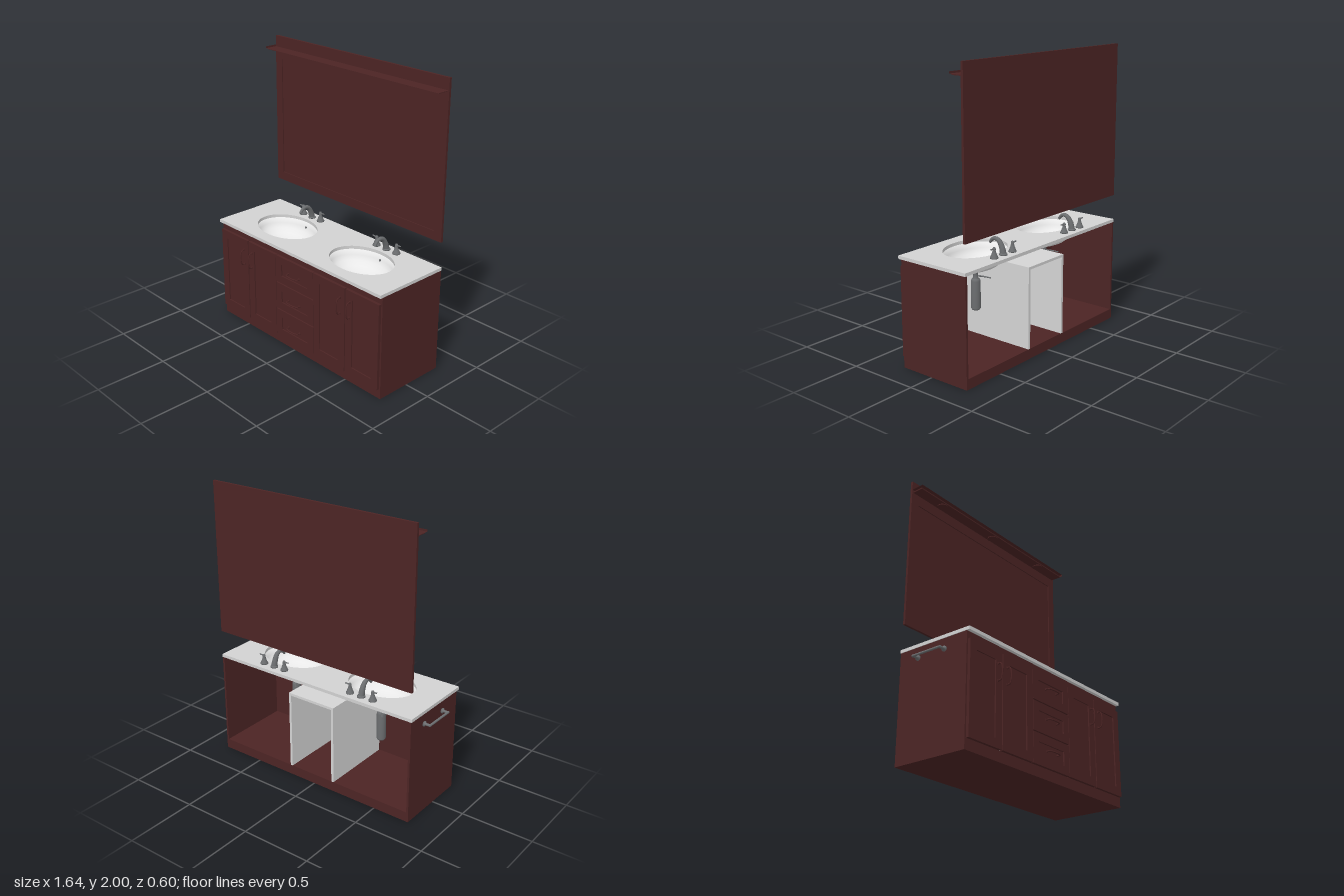
import * as THREE from 'three';

const mat = (name, color, side = THREE.FrontSide) => {
  const m = new THREE.MeshStandardMaterial({ color, side });
  m.name = name;
  return m;
};

export function createModel() {
  const wood = mat('dark cherry wood', 0x4c2424);
  const stone = mat('grey stone', 0xd2d2d2);
  const china = mat('white china', 0xececec, THREE.DoubleSide);
  const board = mat('drawer box board', 0xd4d4d4);
  const metal = mat('brushed metal', 0x6c6e70);

  const model = new THREE.Group();
  model.name = 'doubleVanity';
  const add = (name, geo, material, parent = model) => {
    const mesh = new THREE.Mesh(geo, material);
    mesh.name = name;
    parent.add(mesh);
    return mesh;
  };
  // Box given by its limits on each axis
  const box = (name, x0, x1, y0, y1, z0, z1, material = wood, parent = model) => {
    const mesh = add(name, new THREE.BoxGeometry(x1 - x0, y1 - y0, z1 - z0), material, parent);
    mesh.position.set((x0 + x1) / 2, (y0 + y1) / 2, (z0 + z1) / 2);
    return mesh;
  };
  const vec = (x, y, z) => new THREE.Vector3(x, y, z);
  const lathe = (pts, seg = 24) => new THREE.LatheGeometry(pts.map(p => new THREE.Vector2(...p)), seg);
  // Tube whose radius changes from r0 to r1, with capped ends
  const taperTube = (name, pts, r0, r1, material, parent) => {
    const curve = new THREE.CatmullRomCurve3(pts);
    const n = 24, sides = 12;
    const geo = new THREE.TubeGeometry(curve, n, 1, sides);
    const p = geo.attributes.position, v = new THREE.Vector3();
    for (let i = 0; i <= n; i++) {
      const c = curve.getPointAt(i / n), r = r0 + (r1 - r0) * i / n;
      for (let j = 0; j <= sides; j++) {
        const k = i * (sides + 1) + j;
        v.fromBufferAttribute(p, k).sub(c).multiplyScalar(r).add(c);
        p.setXYZ(k, v.x, v.y, v.z);
      }
    }
    add(name, geo, material, parent);
    [[0, r0, -1], [1, r1, 1]].forEach(([t, r, s]) => {
      const cap = add(name + 'End', new THREE.CircleGeometry(r, sides), material, parent);
      const c = curve.getPointAt(t);
      cap.position.copy(c);
      cap.lookAt(c.clone().addScaledVector(curve.getTangentAt(t), s));
    });
  };
  // Framed front with a recessed centre panel
  const framedPanel = (name, x0, x1, y0, y1, z0, z1, rail, depth) => {
    const g = new THREE.Group();
    g.name = name;
    model.add(g);
    box('leftStile', x0, x0 + rail, y0, y1, z0, z1, wood, g);
    box('rightStile', x1 - rail, x1, y0, y1, z0, z1, wood, g);
    box('bottomRail', x0 + rail, x1 - rail, y0, y0 + rail, z0, z1, wood, g);
    box('topRail', x0 + rail, x1 - rail, y1 - rail, y1, z0, z1, wood, g);
    box('centrePanel', x0 + rail, x1 - rail, y0 + rail, y1 - rail, z0, z1 - depth, wood, g);
  };

  // Cabinet carcass, open at the back
  const L = -0.768, R = 0.815, B = -0.297, F = 0.245;
  box('base', L, R, 0, 0.07, B, F);
  box('rightSide', L, L + 0.015, 0.07, 0.73, B, F);
  box('leftSide', R - 0.015, R, 0.07, 0.73, B, F);
  box('frontTopRail', L + 0.015, R - 0.015, 0.675, 0.73, F - 0.018, F);

  // Drawer housing
  box('housingSide', -0.165, -0.147, 0.07, 0.635, B, F - 0.002, board);
  box('housingSide', 0.192, 0.21, 0.07, 0.635, B, F - 0.002, board);
  box('housingTop', -0.147, 0.192, 0.617, 0.635, B, F - 0.002, board);

  // Bowed pull, centred on its own origin and running along x
  const pull = (x, y, upright) => {
    const g = new THREE.Group();
    g.name = 'pull';
    g.position.set(x, y, 0.265);
    if (upright) g.rotation.z = Math.PI / 2;
    model.add(g);
    taperTube('grip', [vec(-0.055, 0, 0), vec(-0.053, 0, 0.022), vec(-0.035, 0, 0.031), vec(0, 0, 0.034),
      vec(0.035, 0, 0.031), vec(0.053, 0, 0.022), vec(0.055, 0, 0)], 0.0045, 0.0045, wood, g);
    for (const s of [-1, 1]) box('foot', s * 0.055 - 0.007, s * 0.055 + 0.007, -0.006, 0.006, 0, 0.006, wood, g);
  };

  // Doors and drawers with their pulls
  [[-0.757, -0.465, -0.505], [-0.457, -0.167, -0.42], [0.212, 0.505, 0.465], [0.513, 0.804, 0.552]]
    .forEach(([x0, x1, px]) => {
      framedPanel('door', x0, x1, 0.07, 0.68, F, 0.265, 0.058, 0.009);
      pull(px, 0.545, true);
    });
  [[0.07, 0.273], [0.281, 0.477], [0.485, 0.68]].forEach(([y0, y1]) => {
    framedPanel('drawerFront', -0.163, 0.208, y0, y1, F, 0.265, 0.055, 0.009);
    pull(0.022, (y0 + y1) / 2, false);
  });

  // Countertop with two oval openings
  const sinks = [-0.345, 0.39];
  const slab = new THREE.Shape();
  slab.moveTo(-0.772, -0.268).lineTo(0.818, -0.268).lineTo(0.818, 0.297).lineTo(-0.772, 0.297).closePath();
  for (const x of sinks) slab.holes.push(new THREE.Path().absellipse(x, 0, 0.242, 0.182, 0, Math.PI * 2, true));
  const top = add('countertop', new THREE.ExtrudeGeometry(slab, { depth: 0.022, bevelEnabled: false, curveSegments: 48 }), stone);
  top.rotation.x = -Math.PI / 2;
  top.position.y = 0.73;

  for (const x of sinks) {
    const g = new THREE.Group();
    g.name = 'sinkAndFaucet';
    g.position.x = x;
    model.add(g);

    // Basin, drain, overflow and waste pipe
    const bowl = add('basin', lathe([[0.02, 0.605], [0.06, 0.607], [0.12, 0.617], [0.17, 0.634], [0.21, 0.66],
      [0.235, 0.69], [0.246, 0.728], [0.285, 0.729]], 48), china, g);
    bowl.scale.z = 0.755;
    add('drain', new THREE.CylinderGeometry(0.027, 0.027, 0.008, 24), metal, g).position.y = 0.61;
    const hole = add('overflow', new THREE.CylinderGeometry(0.008, 0.008, 0.004, 16), metal, g);
    hole.position.set(0, 0.69, -0.175);
    hole.rotation.x = 1.3;
    add('wastePipe', lathe([[0, 0.33], [0.024, 0.333], [0.032, 0.345], [0.032, 0.53], [0.026, 0.545],
      [0.016, 0.55], [0.016, 0.59], [0.026, 0.595], [0.026, 0.607]]), metal, g);
    taperTube('popUpRod', [vec(0, 0.565, 0), vec(-0.03, 0.56, -0.04), vec(-0.06, 0.55, -0.08)], 0.006, 0.004, metal, g);

    // Arched spout
    add('spoutBase', lathe([[0, 0.752], [0.027, 0.752], [0.027, 0.758], [0.021, 0.765], [0, 0.765]]), metal, g)
      .position.z = -0.235;
    taperTube('spout', [vec(0, 0.755, -0.235), vec(0, 0.8, -0.223), vec(0, 0.838, -0.2), vec(0, 0.849, -0.17),
      vec(0, 0.84, -0.145), vec(0, 0.817, -0.125)], 0.022, 0.0095, metal, g);

    // Flared handles with outward levers
    for (const s of [-1, 1]) {
      const h = new THREE.Group();
      h.name = 'tap';
      h.position.set(s * 0.09, 0, -0.235);
      g.add(h);
      add('tapBody', lathe([[0, 0.752], [0.027, 0.752], [0.027, 0.757], [0.021, 0.768], [0.013, 0.79],
        [0.01, 0.803], [0.011, 0.815], [0.007, 0.822], [0, 0.823]]), metal, h);
      taperTube('lever', [vec(-s * 0.008, 0.812, 0), vec(s * 0.015, 0.813, 0), vec(s * 0.036, 0.815, 0)], 0.005, 0.0045, metal, h);
    }
  }

  // Towel bar on the right side
  const bar = new THREE.Group();
  bar.name = 'towelBar';
  model.add(bar);
  const rod = add('rail', new THREE.CylinderGeometry(0.008, 0.008, 0.23, 16), metal, bar);
  rod.rotation.x = Math.PI / 2;
  rod.position.set(-0.812, 0.658, -0.037);
  for (const z of [-0.145, 0.07]) {
    const post = add('post', lathe([[0, 0], [0.018, 0], [0.018, 0.008], [0.009, 0.014], [0.009, 0.045], [0, 0.045]], 16), metal, bar);
    post.rotation.z = Math.PI / 2;
    post.position.set(L, 0.658, z);
  }

  // Wall panel with recessed centre and a shelf near the top
  const back = new THREE.Shape();
  back.moveTo(-0.765, 0.93).lineTo(0.815, 0.93).lineTo(0.815, 2).lineTo(-0.765, 2).closePath();
  back.holes.push(new THREE.Path().moveTo(-0.703, 0.992).lineTo(-0.703, 1.84).lineTo(0.753, 1.84).lineTo(0.753, 0.992).closePath());
  add('wallFrame', new THREE.ExtrudeGeometry(back, { depth: 0.017, bevelEnabled: false }), wood).position.z = B;
  box('wallPanel', -0.703, 0.753, 0.992, 1.84, B, -0.287);
  box('shelf', -0.763, 0.81, 1.922, 1.935, -0.187, -0.28);
  box('shelfMoulding', -0.755, 0.802, 1.914, 1.922, -0.28, -0.2);
  for (const x of [-0.51, 0.025, 0.56]) {
    add('shelfPuck', new THREE.CylinderGeometry(0.036, 0.036, 0.006, 24), wood).position.set(x, 1.911, -0.24);
  }

  return model;
}
